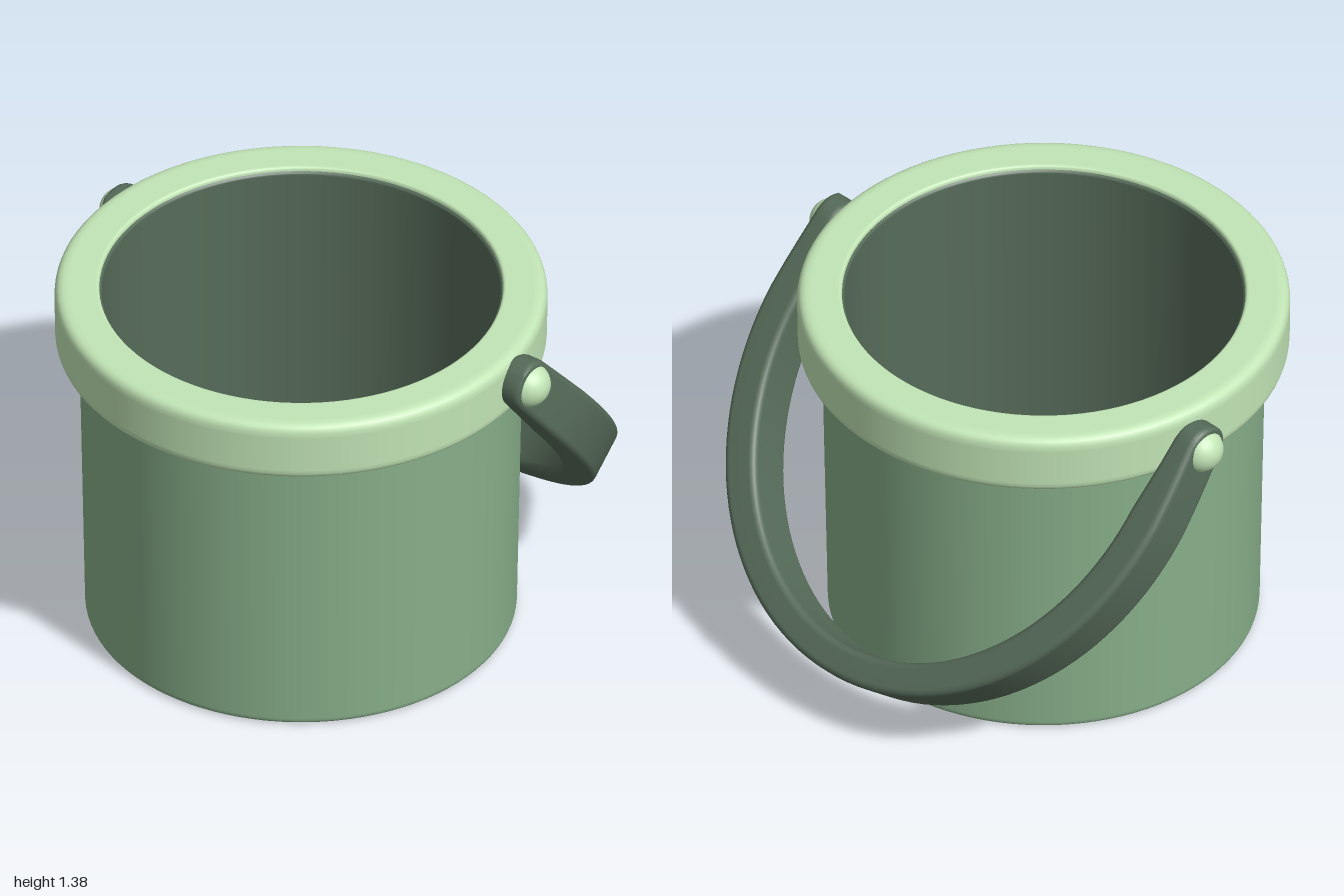
import * as THREE from 'three';

const mat = (name, color) => {
  const m = new THREE.MeshStandardMaterial({ color });
  m.name = name;
  return m;
};

// Adds corner fillets to a profile of [x, y, radius] points, for a lathe
function filleted(profile) {
  const out = [];
  profile.forEach(([x, y, r = 0], i) => {
    const p = new THREE.Vector2(x, y);
    if (!r) { out.push(p); return; }
    const toward = (q, d) => new THREE.Vector2(q[0], q[1]).sub(p).setLength(d).add(p);
    const prev = profile[i - 1], next = profile[i + 1];
    const a = toward(prev, r), b = toward(next, r);
    out.push(toward(prev, r * 1.1));
    for (let k = 0; k <= 6; k++) {
      const t = k / 6, s = 1 - t;
      out.push(new THREE.Vector2(
        s * s * a.x + 2 * s * t * x + t * t * b.x,
        s * s * a.y + 2 * s * t * y + t * t * b.y));
    }
    out.push(toward(next, r * 1.1));
  });
  return out;
}

// Rounded band swept down the front arm, around the bow and up the back arm
function handleGeometry() {
  const R = 0.097, ARM = 0.3, DEPTH = 1.018, Z = 0.897, ROUND = 0.026;
  const path = []; // [distance below pivot, z, half width, half thickness]
  for (let k = 0; k <= 8; k++) {
    const a = (k / 8) * Math.PI / 2;
    path.push([-R * Math.cos(a), Z, R * Math.sin(a), 0.049]);
  }
  path.push([0.1, Z + 0.002, 0.099, 0.055], [0.2, Z + 0.002, 0.101, 0.062]);
  for (let k = 0; k <= 32; k++) {
    const a = (k / 32) * Math.PI / 2;
    path.push([ARM + DEPTH * Math.sin(a), Z * Math.cos(a),
      0.103 + 0.007 * Math.sin(a), 0.058 + 0.01 * Math.cos(a)]);
  }
  for (let k = path.length - 2; k >= 0; k--) {
    const [s, z, w, t] = path[k];
    path.push([s, -z, w, t]);
  }

  const pos = [], index = [], C = 5, M = C * 4;
  path.forEach(([s, z, hw, ht], i) => {
    const p = path[Math.max(i - 1, 0)], q = path[Math.min(i + 1, path.length - 1)];
    const dy = -(q[0] - p[0]), dz = q[1] - p[1], len = Math.hypot(dy, dz);
    const ny = dz / len, nz = -dy / len; // outward from the bow
    const c = Math.min(ROUND, hw);
    for (let j = 0; j < M; j++) {
      const corner = Math.floor(j / C);
      const a = (corner + (j % C) / (C - 1)) * Math.PI / 2;
      const sx = corner === 0 || corner === 3 ? 1 : -1, sn = corner < 2 ? 1 : -1;
      const w = sx * (hw - c) + c * Math.cos(a);
      const n = sn * (ht - ROUND) + ROUND * Math.sin(a);
      pos.push(w, -s + n * ny, z + n * nz);
    }
  });
  for (let i = 0; i < path.length - 1; i++) {
    for (let j = 0; j < M; j++) {
      const a = i * M + j, b = i * M + (j + 1) % M;
      index.push(a, b, a + M, b, b + M, a + M);
    }
  }
  const g = new THREE.BufferGeometry();
  g.setAttribute('position', new THREE.Float32BufferAttribute(pos, 3));
  g.setIndex(index);
  g.computeVertexNormals();
  return g;
}

export function createModel() {
  const body = mat('bodyGreen', 0x88af8a);
  const pale = mat('paleGreen', 0xc2e5b6);
  const dark = mat('darkGreen', 0x566b59);

  const model = new THREE.Group();
  model.name = 'bucket';
  const add = (parent, name, geometry, material) => {
    const m = new THREE.Mesh(geometry, material);
    m.name = name;
    parent.add(m);
    return m;
  };
  const lathe = (profile) => new THREE.LatheGeometry(filleted(profile), 96);

  // Pail: pale base, tapered wall, rim and dark lining
  const pail = new THREE.Group();
  pail.name = 'pail';
  pail.position.x = -0.11;
  model.add(pail);
  add(pail, 'base', lathe([[0, 0], [0.745, 0.001]]), pale);
  add(pail, 'outerWall', lathe([
    [0.745, 0.001], [0.769, 0.003, 0.022], [0.79, 1.125, 0.02], [0.815, 1.15],
  ]), body);
  add(pail, 'rim', lathe([
    [0.78, 1.145], [0.876, 1.148, 0.035], [0.879, 1.378, 0.045],
    [0.72, 1.378, 0.012], [0.718, 1.36],
  ]), pale);
  add(pail, 'lining', lathe([
    [0.719, 1.363], [0.71, 1.355, 0.005], [0.695, 0.06, 0.04], [0, 0.06],
  ]), dark);

  // Handle hanging to the side, very slightly askew
  const handle = new THREE.Group();
  handle.name = 'handle';
  handle.position.set(0.025, 1.25, 0);
  handle.rotation.set(-0.02, 0.026, 0.7);
  model.add(handle);
  add(handle, 'handleBand', handleGeometry(), dark);

  // Domed pivot knobs set into the arm ends
  for (const side of [1, -1]) {
    const knob = add(handle, side > 0 ? 'frontKnob' : 'backKnob',
      new THREE.SphereGeometry(0.083, 32, 20), pale);
    knob.position.z = side * 0.914;
  }
  return model;
}
